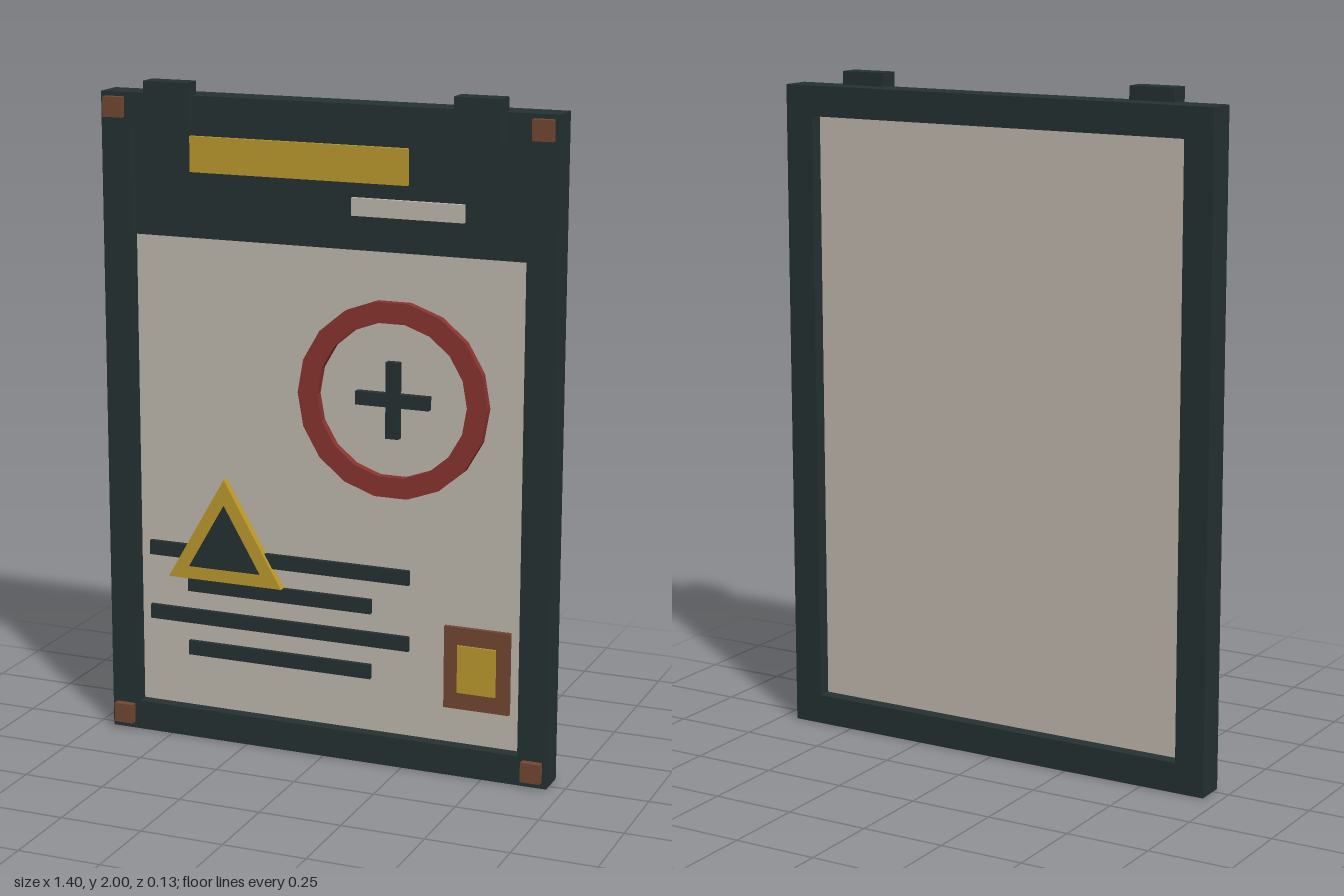
import * as THREE from 'three';

const mat = (name, color) => {
  const m = new THREE.MeshStandardMaterial({ color });
  m.name = name;
  return m;
};

export function createModel() {
  const dark = mat('dark slate', 0x253131);
  const paper = mat('pale paper', 0xc0b9ae);
  const yellow = mat('mustard yellow', 0xbc9a2e);
  const red = mat('sign red', 0x88342f);
  const rust = mat('rust brown', 0x734732);
  const model = new THREE.Group();
  model.name = 'noticeBoard';

  const add = (name, geometry, material) => {
    const mesh = new THREE.Mesh(geometry, material);
    mesh.name = name;
    model.add(mesh);
    return mesh;
  };
  // Box given by its limits on each axis
  const box = (name, material, x0, x1, y0, y1, z0, z1) =>
    add(name, new THREE.BoxGeometry(x1 - x0, y1 - y0, z1 - z0), material)
      .position.set((x0 + x1) / 2, (y0 + y1) / 2, (z0 + z1) / 2);
  const rect = (x0, x1, y0, y1) => [[x0, y0], [x1, y0], [x1, y1], [x0, y1]].map(p => new THREE.Vector2(...p));
  // Regular polygon outline
  const polygon = (n, r, cx, cy, start) => Array.from({ length: n }, (_, i) => {
    const a = start + i * 2 * Math.PI / n;
    return new THREE.Vector2(cx + r * Math.cos(a), cy + r * Math.sin(a));
  });
  // Flat prism from an outline with an optional hole
  const prism = (name, material, outline, hole, z0, z1) => {
    const shape = new THREE.Shape(outline);
    if (hole) shape.holes.push(new THREE.Path(hole));
    const geometry = new THREE.ExtrudeGeometry(shape, { depth: z1 - z0, bevelEnabled: false });
    add(name, geometry, material).position.z = z0;
  };

  // Frame and recessed sheet
  prism('frame', dark, rect(-0.7, 0.7, 0, 1.96), rect(-0.61, 0.61, 0.09, 1.87), -0.065, 0.027);
  box('sheet', paper, -0.612, 0.612, 0.088, 1.872, -0.025, -0.01);

  // Header with title bars
  box('header', dark, -0.606, 0.606, 1.54, 1.871, -0.012, 0.0);
  box('titleBar', yellow, -0.425, 0.25, 1.735, 1.84, -0.002, 0.012);
  box('subtitleBar', paper, 0.08, 0.42, 1.64, 1.692, -0.002, 0.012);

  // Round emblem with a cross
  const ring = r => polygon(18, r, 0.207, 1.11, Math.PI / 18 * 2);
  prism('emblemRing', red, ring(0.292), ring(0.23), -0.012, 0.015);
  box('crossUpright', dark, 0.188, 0.228, 0.997, 1.223, -0.012, 0.013);
  box('crossBar', dark, 0.094, 0.32, 1.09, 1.13, -0.012, 0.012);

  // Text lines, alternately long and short
  [0.58, 0.478, 0.377, 0.276].forEach((y, i) => {
    const [x0, x1] = i % 2 ? [-0.452, 0.14] : [-0.578, 0.26];
    box('textLine', dark, x0, x1, y - 0.022, y + 0.022, -0.012, 0.004);
  });

  // Warning triangle
  prism('warningTriangle', yellow, polygon(3, 0.213, -0.325, 0.607, Math.PI / 2), null, -0.012, 0.016);
  prism('warningCentre', dark, polygon(3, 0.133, -0.325, 0.607, Math.PI / 2), null, 0.014, 0.02);

  // Stamp
  box('stamp', rust, 0.372, 0.574, 0.2, 0.45, -0.012, 0.004);
  box('stampCentre', yellow, 0.415, 0.533, 0.252, 0.397, 0.002, 0.01);

  // Hanging clips and corner bolts
  for (const s of [-1, 1]) {
    box('clip', dark, s * 0.475 - 0.07, s * 0.475 + 0.07, 1.863, 2, 0.003, 0.065);
    for (const y of [0.05, 1.917])
      box('cornerBolt', rust, s * 0.656 - 0.03, s * 0.656 + 0.03, y - 0.03, y + 0.03, 0.02, 0.049);
  }
  return model;
}
